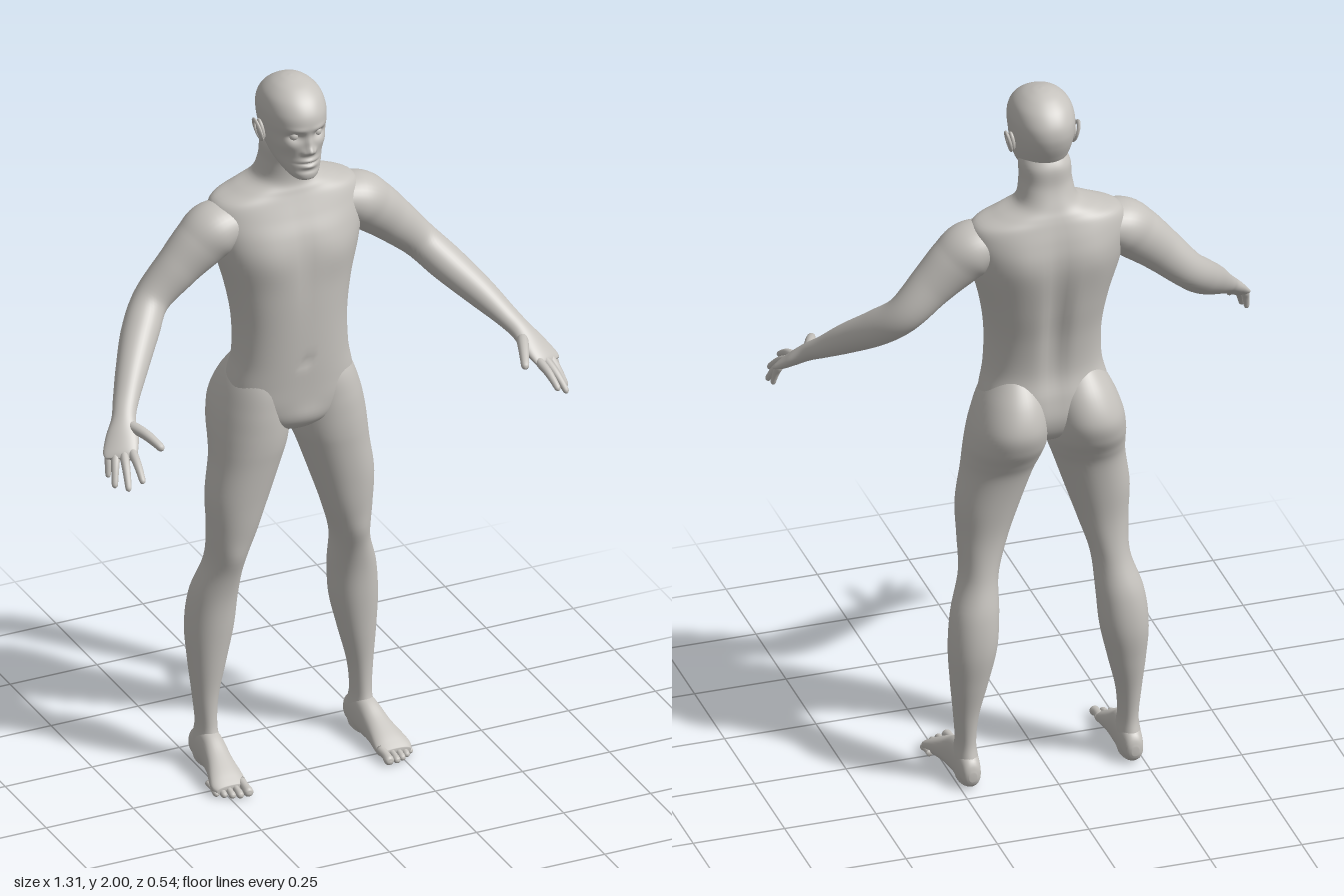
import * as THREE from 'three';

const skin = new THREE.MeshStandardMaterial({ color: 0xc5c2bd });
skin.name = 'skin grey';

// Smoothly resample a short list of numeric sections
function resample(rows, steps) {
  const out = [], last = rows.length - 1;
  for (let k = 0; k <= steps; k++) {
    const t = (k / steps) * last, i = Math.min(Math.floor(t), last - 1), f = t - i;
    const [a, b, c, d] = [i - 1, i, i + 1, i + 2].map(n => rows[Math.max(0, Math.min(last, n))]);
    out.push(b.map((_, m) => 0.5 * (2 * b[m] + (c[m] - a[m]) * f +
      (2 * a[m] - 5 * b[m] + 4 * c[m] - d[m]) * f * f + (3 * b[m] - a[m] - 3 * c[m] + d[m]) * f ** 3)));
  }
  return out;
}

// Skin closed rings; place(section, cos, sin, index, sections) returns a point
function loft(rows, steps, around, place, power = 2) {
  const secs = resample(rows, steps), pos = [], idx = [];
  const soft = v => Math.sign(v) * Math.abs(v) ** (2 / power);
  secs.forEach((s, i) => {
    for (let j = 0; j < around; j++) {
      const a = (j / around) * Math.PI * 2;
      pos.push(...place(s, soft(Math.cos(a)), soft(Math.sin(a)), i, secs));
    }
  });
  for (let i = 0; i < steps; i++) for (let j = 0; j < around; j++) {
    const n = (j + 1) % around, a = i * around + j, b = i * around + n;
    idx.push(a, b, b + around, a, b + around, a + around);
  }
  // End caps
  for (const row of [0, steps]) {
    const c = [0, 0, 0], mid = pos.length / 3, o = row * around;
    for (let j = 0; j < around; j++) for (let m = 0; m < 3; m++) c[m] += pos[(o + j) * 3 + m] / around;
    pos.push(...c);
    for (let j = 0; j < around; j++) {
      const a = o + j, b = o + (j + 1) % around;
      if (row) idx.push(a, b, mid); else idx.push(b, a, mid);
    }
  }
  const g = new THREE.BufferGeometry();
  g.setAttribute('position', new THREE.Float32BufferAttribute(pos, 3));
  g.setIndex(idx);
  g.computeVertexNormals();
  return g;
}

// Upright form: rows of [y, x centre, half width, front z, back z]
const upright = (rows, steps, around, power, rule = (x, y, z) => z) =>
  loft(rows, steps, around, ([y, xc, w, zf, zb], c, s) => {
    const x = xc + w * s, z = (zf + zb) / 2 + c * (zf - zb) / 2;
    return [x, y, rule(x, y, z, c)];
  }, power);

// Limb along a path: rows of [x, y, z, thickness radius, sideways radius]
const limb = (rows, steps, around) =>
  loft(rows, steps, around, (p, c, s, i, all) => {
    const a = all[Math.max(0, i - 1)], b = all[Math.min(all.length - 1, i + 1)];
    const d = new THREE.Vector3(b[0] - a[0], b[1] - a[1], b[2] - a[2]).normalize();
    const v = d.clone().cross(new THREE.Vector3(0, 1, 0)).normalize();
    const u = v.clone().cross(d);
    return new THREE.Vector3(p[0], p[1], p[2]).addScaledVector(u, c * p[3]).addScaledVector(v, s * p[4]).toArray();
  });

function mirrored(g) {
  const m = g.clone(), p = m.attributes.position, ix = m.index.array;
  for (let i = 0; i < p.count; i++) p.setX(i, -p.getX(i));
  for (let i = 0; i < ix.length; i += 3) [ix[i], ix[i + 1]] = [ix[i + 1], ix[i]];
  m.computeVertexNormals();
  return m;
}

const bump = (x, y, cx, cy, sx, sy, amt) => amt * Math.exp(-(((x - cx) / sx) ** 2) - ((y - cy) / sy) ** 2);

export function createModel() {
  const model = new THREE.Group();
  model.name = 'standing figure';
  const add = (name, g) => {
    const m = new THREE.Mesh(g, skin);
    m.name = name;
    model.add(m);
  };
  const pair = (name, g) => { add('left' + name, g); add('right' + name, mirrored(g)); };

  // Torso and neck, with chest, navel and spine relief
  add('torso', upright([
    [0.98, 0, 0.03, -0.07, -0.15], [0.99, 0, 0.07, -0.04, -0.18], [1.02, 0, 0.13, -0.015, -0.215],
    [1.07, 0, 0.178, -0.008, -0.232], [1.13, 0, 0.172, -0.005, -0.228], [1.2, 0, 0.157, -0.002, -0.215],
    [1.3, 0, 0.155, 0, -0.225], [1.4, 0, 0.17, 0, -0.245], [1.5, 0, 0.197, -0.004, -0.262],
    [1.56, 0, 0.208, -0.016, -0.264], [1.61, 0, 0.212, -0.038, -0.255], [1.65, 0, 0.198, -0.056, -0.243],
    [1.674, 0, 0.14, -0.066, -0.234], [1.7, 0, 0.084, -0.074, -0.222], [1.75, 0, 0.069, -0.07, -0.203],
    [1.8, 0, 0.066, -0.06, -0.198], [1.83, 0, 0.05, -0.07, -0.18],
  ], 90, 72, 2.3, (x, y, z, c) => {
    const ax = Math.abs(x);
    if (c > 0.2) return z + bump(ax, y, 0.095, 1.5, 0.06, 0.06, 0.007) + bump(x, y, 0, 1.5, 0.02, 0.12, -0.004)
      + bump(x, y, 0, 1.2, 0.012, 0.014, -0.008) + bump(x, y, 0, 1.04, 0.04, 0.03, 0.005);
    if (c < -0.2) return z + bump(x, y, 0, 1.36, 0.03, 0.22, 0.018) + bump(ax, y, 0.1, 1.56, 0.05, 0.07, -0.007);
    return z;
  }));

  // Head with brow, sockets, nose, lips and chin
  add('head', upright([
    [1.743, 0, 0.018, 0.004, -0.03], [1.748, 0, 0.032, 0.012, -0.06], [1.762, 0, 0.046, 0.015, -0.1],
    [1.785, 0, 0.059, 0.013, -0.15], [1.81, 0, 0.068, 0.011, -0.18], [1.84, 0, 0.076, 0.012, -0.198],
    [1.87, 0, 0.081, 0.013, -0.211], [1.9, 0, 0.084, 0.017, -0.217], [1.93, 0, 0.083, 0.011, -0.212],
    [1.96, 0, 0.073, -0.01, -0.192], [1.983, 0, 0.051, -0.042, -0.163], [1.996, 0, 0.025, -0.078, -0.133],
    [2, 0, 0.003, -0.102, -0.108],
  ], 110, 112, 2.15, (x, y, z, c) => {
    if (c < 0.3) return z;
    const ax = Math.abs(x);
    return z + bump(ax, y, 0.033, 1.872, 0.018, 0.012, -0.013) + bump(ax, y, 0.03, 1.893, 0.024, 0.008, 0.003)
      + bump(x, y, 0, 1.85, 0.009, 0.02, 0.008) + bump(x, y, 0, 1.832, 0.011, 0.011, 0.016)
      + bump(ax, y, 0.014, 1.827, 0.007, 0.008, 0.008) + bump(x, y, 0, 1.802, 0.024, 0.006, 0.006)
      + bump(x, y, 0, 1.786, 0.021, 0.006, 0.006) + bump(x, y, 0, 1.794, 0.026, 0.002, -0.004)
      + bump(x, y, 0, 1.772, 0.03, 0.006, -0.003) + bump(ax, y, 0.05, 1.845, 0.02, 0.015, 0.004)
      + bump(ax, y, 0.052, 1.805, 0.02, 0.02, -0.003);
  }));

  // Eyes
  pair('Eye', new THREE.SphereGeometry(0.0135, 20, 14).translate(0.033, 1.872, -0.013));

  // Ears: a flat shell with a raised rim
  const placeEar = g => g.rotateX(-0.2).rotateZ(-0.1).translate(0.083, 1.856, -0.108);
  pair('Ear', placeEar(new THREE.SphereGeometry(1, 20, 14).scale(0.01, 0.03, 0.019)));
  pair('EarRim', placeEar(new THREE.TorusGeometry(0.019, 0.0045, 8, 28)
    .rotateY(Math.PI / 2).scale(1, 1.5, 0.9).rotateZ(-0.15).translate(0.008, 0.002, 0)));

  // Arms, from inside the shoulder to the end of the palm
  pair('Arm', limb([
    [0.12, 1.6, -0.142, 0.045, 0.065], [0.2, 1.577, -0.139, 0.072, 0.08], [0.25, 1.54, -0.138, 0.071, 0.069],
    [0.31, 1.485, -0.138, 0.061, 0.056], [0.385, 1.41, -0.135, 0.05, 0.049], [0.44, 1.352, -0.085, 0.048, 0.05],
    [0.5, 1.29, -0.01, 0.04, 0.042], [0.545, 1.24, 0.05, 0.029, 0.034], [0.57, 1.21, 0.09, 0.024, 0.032],
    [0.59, 1.18, 0.125, 0.02, 0.043], [0.612, 1.15, 0.158, 0.014, 0.045], [0.619, 1.14, 0.17, 0.006, 0.036],
  ], 84, 36));

  // Fingers: knuckle and tip, with a slight bend
  const fingers = [
    ['IndexFinger', [0.584, 1.153, 0.174], [0.597, 1.11, 0.267]],
    ['MiddleFinger', [0.604, 1.151, 0.164], [0.63, 1.086, 0.249]],
    ['RingFinger', [0.622, 1.15, 0.151], [0.649, 1.078, 0.203]],
    ['LittleFinger', [0.637, 1.15, 0.138], [0.648, 1.088, 0.16]],
    ['Thumb', [0.563, 1.2, 0.115], [0.52, 1.172, 0.226]],
  ];
  fingers.forEach(([name, a, b], i) => {
    const r = i === 4 ? 0.014 : i === 3 ? 0.0095 : 0.011;
    const at = (t, lift, k) => [...a.map((v, m) => v + (b[m] - v) * t + (m === 1 ? lift : 0)), r * k, r * k];
    pair(name, limb([at(-0.12, 0, 0.8), at(0.1, 0.002, 1.1), at(0.45, 0.007, 1), at(0.75, 0.005, 0.85),
      at(0.94, 0.001, 0.7), at(1, 0, 0.15)], 20, 14));
  });

  // Legs, from the ankle up through thigh and buttock
  pair('Leg', upright([
    [0.005, 0.222, 0.024, -0.1, -0.2], [0.03, 0.222, 0.03, -0.09, -0.207], [0.07, 0.222, 0.031, -0.09, -0.2],
    [0.12, 0.222, 0.026, -0.106, -0.188], [0.2, 0.222, 0.033, -0.11, -0.194], [0.3, 0.215, 0.05, -0.103, -0.212],
    [0.4, 0.207, 0.064, -0.095, -0.226], [0.5, 0.198, 0.063, -0.086, -0.218], [0.6, 0.18, 0.051, -0.064, -0.19],
    [0.7, 0.165, 0.066, -0.042, -0.18], [0.8, 0.15, 0.085, -0.03, -0.19], [0.9, 0.126, 0.095, -0.02, -0.208],
    [0.95, 0.115, 0.102, -0.015, -0.23], [1, 0.108, 0.105, -0.013, -0.258], [1.06, 0.102, 0.099, -0.014, -0.271],
    [1.13, 0.092, 0.082, -0.022, -0.243], [1.2, 0.085, 0.045, -0.05, -0.185],
  ], 100, 48, 2.1, (x, y, z, c) => z + (c > 0 ? bump(x, y, 0.18, 0.63, 0.04, 0.04, 0.006) : 0)));

  // Feet: rows of [z, x centre, half width, bottom, top]
  pair('Foot', loft([
    [-0.213, 0.222, 0.01, 0.025, 0.05], [-0.2, 0.222, 0.025, 0.006, 0.08], [-0.15, 0.222, 0.032, 0, 0.11],
    [-0.1, 0.224, 0.034, 0, 0.105], [-0.05, 0.229, 0.038, 0.002, 0.078], [0, 0.235, 0.047, 0.001, 0.052],
    [0.025, 0.237, 0.049, 0, 0.037], [0.042, 0.236, 0.042, 0.004, 0.026],
  ], 36, 36, ([z, xc, w, lo, hi], c, s) => [xc + w * c, (lo + hi) / 2 + s * (hi - lo) / 2, z], 2.3));

  // Toes
  const toes = [[0.202, 0.08, 0.0135], [0.225, 0.078, 0.01], [0.244, 0.07, 0.0095], [0.262, 0.058, 0.009], [0.278, 0.043, 0.0085]];
  toes.forEach(([x, tip, r], i) => pair('Toe' + (i + 1), limb([
    [x - 0.001, r + 0.007, tip - 0.06, r, r], [x, r + 0.005, tip - 0.03, r * 0.85, r * 0.85],
    [x, r, tip - 0.012, r, r], [x, r * 0.9, tip - 0.003, r * 0.7, r * 0.75], [x, r * 0.9, tip, r * 0.15, r * 0.15],
  ], 18, 14)));

  return model;
}
